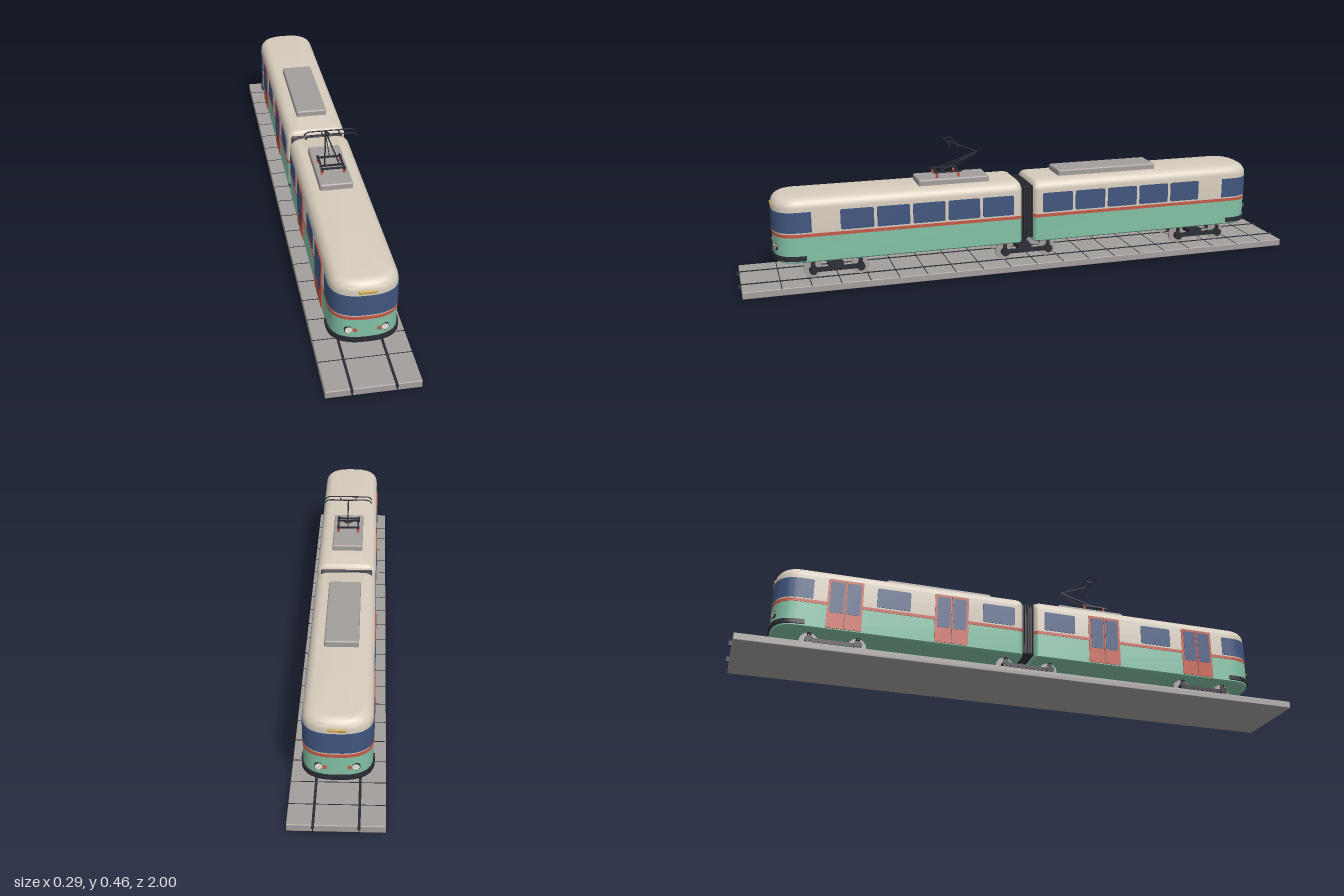
import * as THREE from 'three';
import { toCreasedNormals } from 'three/addons/utils/BufferGeometryUtils.js';
import { RoundedBoxGeometry } from 'three/addons/geometries/RoundedBoxGeometry.js';

const W = 0.105, Z0 = 0.785, L = 0.09, N = 2.6, INNER = 0.02;

function material(name, color) {
  const m = new THREE.MeshStandardMaterial({ color });
  m.name = name;
  return m;
}

export function createModel() {
  const mats = {
    cream: material('cream', 0xd6ccbd), green: material('green', 0x82c0a5),
    glass: material('blue glass', 0x40557e), red: material('red', 0xc45a48),
    grey: material('grey', 0xa39e9c), dark: material('dark', 0x2b2b34),
    yellow: material('yellow', 0xc9a848), lamp: material('lamp white', 0xe6e0d6),
  };

  function add(parent, name, geo, mat, x = 0, y = 0, z = 0) {
    const m = new THREE.Mesh(geo, mat);
    m.name = name;
    m.position.set(x, y, z);
    parent.add(m);
    return m;
  }
  const box = (w, h, d) => new THREE.BoxGeometry(w, h, d);
  const disc = (r, h, axis, n = 20) => {
    const g = new THREE.CylinderGeometry(r, r, h, n);
    return axis === 'x' ? g.rotateZ(Math.PI / 2) : axis === 'z' ? g.rotateX(Math.PI / 2) : g;
  };
  function rod(parent, name, pts, r, mat) {
    const path = new THREE.CurvePath();
    const v = pts.map(p => new THREE.Vector3(...p));
    for (let i = 1; i < v.length; i++) path.add(new THREE.LineCurve3(v[i - 1], v[i]));
    return add(parent, name, new THREE.TubeGeometry(path, (v.length - 1) * 4, r, 6), mat);
  }

  // Plan curve of the cab, from +x round the nose to -x; e pushes it outwards
  function cabPath(e) {
    const pts = [];
    for (let i = 0; i <= 32; i++) {
      const t = Math.PI * i / 32, c = Math.cos(t), s = Math.max(0, Math.sin(t));
      pts.push([(W + e) * Math.sign(c) * Math.abs(c) ** (2 / N), Z0 + (L + e) * s ** (2 / N)]);
    }
    return pts;
  }
  const cabZ = x => Z0 + L * (1 - (Math.abs(x) / W) ** N) ** (1 / N);

  // Whole plan outline of a car, with small corners at the coupling end
  function outline(e) {
    const pts = cabPath(e), r = 0.02, zc = INNER + r - 0.4 * e;
    for (const [side, start] of [[-1, Math.PI], [1, Math.PI * 1.5]])
      for (let i = 0; i <= 6; i++) {
        const a = start + Math.PI / 2 * i / 6;
        pts.push([side * (W + e - r) + r * Math.cos(a), zc + r * Math.sin(a)]);
      }
    return pts;
  }

  // Stacks outlines [y, offset] into a capped shell
  function loft(levels) {
    const pos = [], idx = [], n = outline(0).length;
    for (const [y, e] of levels) for (const [x, z] of outline(e)) pos.push(x, y, z);
    const last = (levels.length - 1) * n, cb = pos.length / 3;
    pos.push(0, levels[0][0], 0.45, 0, levels[levels.length - 1][0], 0.45);
    for (let j = 0; j < n; j++) {
      const k = (j + 1) % n;
      for (let i = 0; i < last; i += n)
        idx.push(i + j, i + n + j, i + k, i + k, i + n + j, i + n + k);
      idx.push(cb, j, k, cb + 1, last + k, last + j);
    }
    const g = new THREE.BufferGeometry();
    g.setAttribute('position', new THREE.Float32BufferAttribute(pos, 3));
    g.setIndex(idx);
    return toCreasedNormals(g, 0.6);
  }

  // Solid band wrapped round the cab, reaching back to zEnd
  function cabBand(e0, e1, y0, y1, zEnd) {
    const run = e => [[W + e, zEnd], ...cabPath(e), [-W - e, zEnd]];
    const pts = [...run(e1), ...run(e0).reverse()].map(p => new THREE.Vector2(...p));
    const g = new THREE.ExtrudeGeometry(new THREE.Shape(pts), { depth: y1 - y0, bevelEnabled: false });
    return toCreasedNormals(g.rotateX(Math.PI / 2).translate(0, y1, 0), 0.6);
  }

  // Thin rounded plate on a car side
  function plate(parent, name, side, z0, z1, y0, y1, out, r, mat) {
    const w = (z1 - z0) / 2, h = (y1 - y0) / 2, s = new THREE.Shape();
    s.absarc(w - r, h - r, r, 0, Math.PI / 2);
    s.absarc(r - w, h - r, r, Math.PI / 2, Math.PI);
    s.absarc(r - w, r - h, r, Math.PI, Math.PI * 1.5);
    s.absarc(w - r, r - h, r, Math.PI * 1.5, Math.PI * 2);
    const g = new THREE.ExtrudeGeometry(s, { depth: out + 0.001, bevelEnabled: false, curveSegments: 4 });
    add(parent, name, g, mat, side * (W - 0.001), (y0 + y1) / 2, (z0 + z1) / 2).rotation.y = side * Math.PI / 2;
  }

  function buildCar(name, doorSide) {
    const car = new THREE.Group();
    car.name = name;
    add(car, 'lowerBody', loft([[0.093, -0.004], [0.097, 0], [0.187, 0]]), mats.green);
    const roof = [[0.187, 0]];
    for (let i = 0; i <= 8; i++) {
      const a = Math.PI / 2 * i / 8;
      roof.push([0.279 + 0.035 * Math.sin(a), -0.035 * (1 - Math.cos(a))]);
    }
    add(car, 'upperBody', loft(roof), mats.cream);
    add(car, 'waistStripe', loft([[0.182, 0.0015], [0.193, 0.0015]]), mats.red);
    add(car, 'windshield', cabBand(-0.003, 0.002, 0.198, 0.268, 0.752), mats.glass);
    add(car, 'bumper', cabBand(-0.006, 0.005, 0.101, 0.117, 0.773), mats.dark);
    add(car, 'signBox', new RoundedBoxGeometry(0.054, 0.011, 0.016, 2, 0.003), mats.yellow, 0, 0.28, 0.87);

    // Lamps
    for (const s of [-1, 1]) {
      add(car, 'headlightRim', disc(0.0125, 0.014, 'z'), mats.dark, s * 0.055, 0.144, cabZ(0.055) - 0.004);
      add(car, 'headlight', disc(0.011, 0.016, 'z'), mats.lamp, s * 0.055, 0.144, cabZ(0.055) - 0.004);
      add(car, 'tailLight', disc(0.0065, 0.012, 'z'), mats.red, s * 0.036, 0.144, cabZ(0.036) - 0.003);
    }

    // Five windows on the closed side; two windows and two doors on the other
    for (let i = 0; i < 5; i++) {
      const z = 0.053 + i * 0.1228;
      plate(car, 'sideWindow', -doorSide, z, z + 0.112, 0.199, 0.269, 0.002, 0.006, mats.glass);
    }
    for (const z of [0.055, 0.425])
      plate(car, 'sideWindow', doorSide, z, z + 0.115, 0.199, 0.269, 0.002, 0.006, mats.glass);
    for (const z of [0.222, 0.587]) {
      plate(car, 'door', doorSide, z, z + 0.118, 0.1, 0.279, 0.003, 0.003, mats.red);
      plate(car, 'doorSeam', doorSide, z + 0.058, z + 0.06, 0.102, 0.277, 0.0035, 0.0005, mats.dark);
      for (const o of [0.008, 0.064])
        plate(car, 'doorGlass', doorSide, z + o, z + o + 0.046, 0.155, 0.27, 0.004, 0.004, mats.glass);
    }
    return car;
  }

  // Bogie with two axles, side beams, axle boxes and springs
  function buildBogie(z) {
    const b = new THREE.Group();
    b.name = 'bogie';
    b.position.z = z;
    add(b, 'bolster', box(0.13, 0.016, 0.05), mats.dark, 0, 0.062, 0);
    add(b, 'pivot', disc(0.02, 0.03), mats.dark, 0, 0.083, 0);
    for (const s of [-1, 1]) {
      add(b, 'sideBeam', box(0.012, 0.014, 0.16), mats.dark, s * 0.081, 0.058, 0);
      for (const dz of [-0.08, 0.08]) {
        add(b, 'wheel', disc(0.031, 0.009, 'x', 28), mats.grey, s * 0.066, 0.058, dz);
        add(b, 'axleBox', disc(0.014, 0.018, 'x'), mats.dark, s * 0.084, 0.058, dz);
        add(b, 'axleCap', disc(0.007, 0.022, 'x', 12), mats.dark, s * 0.084, 0.058, dz);
        for (let i = 0; i < 3; i++)
          add(b, 'spring', new THREE.TorusGeometry(0.006, 0.0016, 6, 12).rotateX(Math.PI / 2),
            mats.dark, s * 0.082, 0.074 + i * 0.0045, dz);
      }
    }
    for (const dz of [-0.08, 0.08]) add(b, 'axle', disc(0.009, 0.15, 'x', 12), mats.dark, 0, 0.06, dz);
    return b;
  }

  function buildPantograph() {
    const p = new THREE.Group(), d = mats.dark;
    p.name = 'pantograph';
    for (const s of [-1, 1]) {
      for (const z of [0.235, 0.31]) {
        add(p, 'insulator', disc(0.0035, 0.018, 'y', 10), mats.red, s * 0.037, 0.344, z);
        for (const y of [0.339, 0.346]) add(p, 'insulatorDisc', disc(0.0055, 0.003, 'y', 12), mats.red, s * 0.037, y, z);
      }
      add(p, 'frameRail', box(0.006, 0.005, 0.1), d, s * 0.037, 0.354, 0.2725);
      rod(p, 'lowerArm', [[s * 0.024, 0.357, 0.29], [0, 0.411, 0.158]], 0.0025, d);
      rod(p, 'headStrut', [[0, 0.452, 0.262], [s * 0.022, 0.453, 0.262], [s * 0.029, 0.461, 0.262]], 0.0016, d);
      add(p, 'headLink', box(0.003, 0.003, 0.03), d, s * 0.029, 0.46, 0.261);
    }
    for (const z of [0.235, 0.29, 0.31]) add(p, 'frameCrossbar', box(0.084, 0.005, 0.006), d, 0, 0.354, z);
    rod(p, 'upperArm', [[0, 0.411, 0.158], [0, 0.453, 0.262]], 0.0024, d);
    rod(p, 'controlRod', [[0, 0.357, 0.24], [0, 0.388, 0.195], [0, 0.405, 0.158]], 0.0014, d);
    for (const z of [0.247, 0.275])
      rod(p, 'contactBow', [[-0.086, 0.45, z], [-0.08, 0.459, z], [-0.07, 0.462, z],
        [0.07, 0.462, z], [0.08, 0.459, z], [0.086, 0.45, z]], 0.002, d);
    return p;
  }

  const tram = new THREE.Group();
  tram.name = 'tram';
  const rear = buildCar('rearCar', 1);
  rear.rotation.y = Math.PI;
  tram.add(buildCar('frontCar', -1), rear, buildPantograph());
  for (const z of [0.672, 0, -0.672]) tram.add(buildBogie(z));

  // Roof housings
  add(tram, 'frontRoofBox', new RoundedBoxGeometry(0.11, 0.028, 0.25, 3, 0.006), mats.grey, 0, 0.321, 0.253);
  add(tram, 'rearRoofBox', new RoundedBoxGeometry(0.11, 0.028, 0.372, 3, 0.006), mats.grey, 0, 0.321, -0.314);

  // Bellows between the cars
  add(tram, 'bellowsCore', box(0.168, 0.178, 0.05), mats.dark, 0, 0.2, 0);
  for (let i = -2; i <= 2; i++)
    add(tram, 'bellowsFold', new RoundedBoxGeometry(0.182, 0.19, 0.007, 2, 0.003), mats.dark, 0, 0.2, i * 0.0095);

  // Paved track bed with joints and rails
  add(tram, 'trackBed', new RoundedBoxGeometry(0.29, 0.025, 1.98, 2, 0.003), mats.grey, 0, 0.0125, 0);
  for (let i = -9; i <= 9; i++)
    add(tram, 'pavingJoint', box(0.289, 0.002, 0.003), mats.dark, 0, 0.0244, i * 0.098 - 0.02);
  for (const s of [-1, 1]) {
    add(tram, 'railHead', box(0.008, 0.006, 2), mats.dark, s * 0.067, 0.0235, 0);
    add(tram, 'railWeb', box(0.003, 0.012, 2), mats.dark, s * 0.067, 0.018, 0);
  }
  return tram;
}
